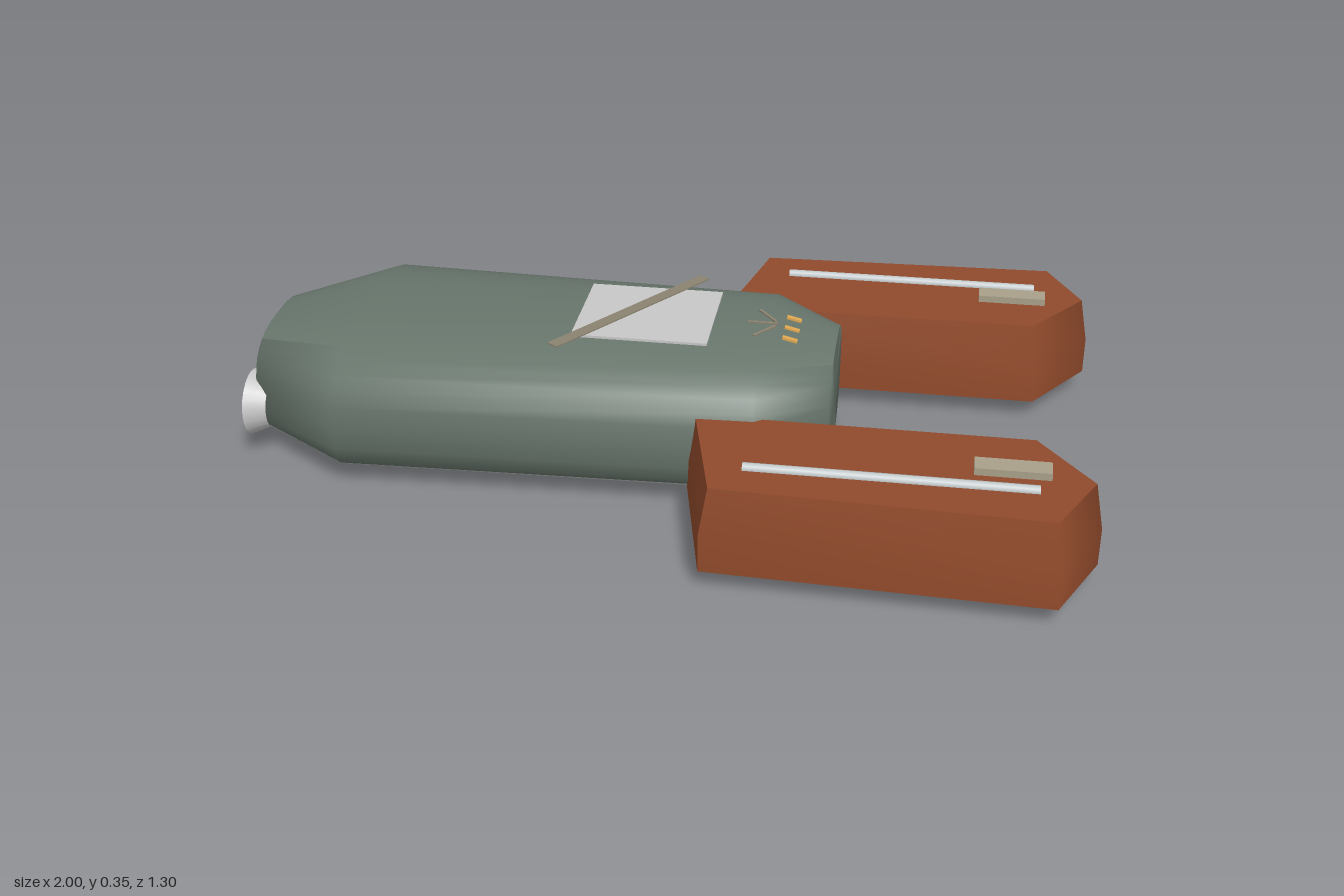
import * as THREE from 'three';
import { toCreasedNormals } from 'three/addons/utils/BufferGeometryUtils.js';

const mat = (name, color, extra = {}) => Object.assign(new THREE.MeshStandardMaterial({ color, ...extra }), { name });

// Closed skin through rings of points, softly shaded except at near-right-angled edges.
// isSecond(j) picks which segments round the ring take the second material.
function loft(rings, isSecond = () => false) {
  const n = rings[0].length, pos = rings.flat(2), main = [], second = [];
  for (let i = 0; i < rings.length - 1; i++) {
    for (let j = 0; j < n; j++) {
      const a = i * n + j, d = i * n + (j + 1) % n;
      (isSecond(j) ? second : main).push(a, a + n, d + n, a, d + n, d);
    }
  }
  // end caps
  [0, rings.length - 1].forEach((i) => {
    const c = pos.length / 3;
    for (let q = 0; q < 3; q++) pos.push(rings[i].reduce((s, p) => s + p[q], 0) / n);
    for (let j = 0; j < n; j++) {
      const a = i * n + j, b = i * n + (j + 1) % n;
      main.push(c, i ? b : a, i ? a : b);
    }
  });
  const g = new THREE.BufferGeometry();
  g.setAttribute('position', new THREE.Float32BufferAttribute(pos, 3));
  g.setIndex([...main, ...second]);
  if (second.length) {
    g.addGroup(0, main.length, 0);
    g.addGroup(main.length, second.length, 1);
  }
  return toCreasedNormals(g, 1.25);
}

// Rounded-box cross-section of the hull at a station along x
function hullRing(x, halfWidth, bottom, top, sides = 32) {
  const soft = (v) => Math.sign(v) * Math.abs(v) ** (2 / 2.8);
  return Array.from({ length: sides }, (_, j) => {
    const t = (j / sides) * Math.PI * 2;
    return [x, (top + bottom) / 2 + soft(Math.sin(t)) * (top - bottom) / 2, soft(Math.cos(t)) * halfWidth];
  });
}

export function createModel() {
  const model = new THREE.Group();
  const hullGreen = mat('hull green', 0x68766c);
  const lightGrey = mat('light grey', 0xc8c8c8, { side: THREE.DoubleSide });
  const podRust = mat('pod rust', 0x904a2b);
  const railGrey = mat('rail grey', 0xbfc6c8);
  const hatchTan = mat('hatch tan', 0xa8a08a);
  const boomBrown = mat('boom brown', 0x8c8370);
  const amber = mat('amber', 0xe0a850);

  const put = (name, geometry, material, x = 0, y = 0, z = 0, parent = model) => {
    const m = new THREE.Mesh(geometry, material);
    m.name = name;
    m.position.set(x, y, z);
    parent.add(m);
    return m;
  };
  // Flat bar between two points in plan
  const bar = (name, x0, z0, x1, z1, y, width, height) => {
    const m = put(name, new THREE.BoxGeometry(Math.hypot(x1 - x0, z1 - z0), height, width), boomBrown,
      (x0 + x1) / 2, y, (z0 + z1) / 2);
    m.rotation.y = -Math.atan2(z1 - z0, x1 - x0);
  };

  // Hull with a grey belly
  put('hull', loft([
    hullRing(-0.98, 0.19, 0.025, 0.295),
    hullRing(-0.74, 0.355, 0.003, 0.35),
    hullRing(0.23, 0.315, 0.003, 0.35),
    hullRing(0.39, 0.2, 0.022, 0.312),
  ], (j) => j >= 19 && j < 29), [hullGreen, lightGrey]);

  // Roof panel, diagonal boom and small fittings at the nose
  put('roofPanel', new THREE.BoxGeometry(0.32, 0.006, 0.285), lightGrey, -0.06, 0.35, -0.007);
  bar('diagonalBoom', -0.25, 0.2, 0.045, -0.225, 0.3545, 0.03, 0.003);
  bar('noseAntenna', 0.18, 0, 0.25, 0, 0.35, 0.007, 0.006);
  for (const s of [-1, 1]) bar('noseAntennaArm', 0.2, 0.07 * s, 0.245, 0.012 * s, 0.349, 0.007, 0.006);
  for (const z of [-0.056, 0, 0.054]) {
    put('noseLight', new THREE.BoxGeometry(0.036, 0.007, 0.013), amber, 0.284, 0.338, z).rotation.z = -0.23;
  }

  // Mirrored side pods with rails and hatches, and engine nozzles
  const outline = [[0.075, 0.27], [0.87, 0.27], [1, 0.46], [0.912, 0.648], [0.15, 0.62]];
  for (const s of [-1, 1]) {
    const pod = new THREE.Group();
    pod.name = s > 0 ? 'frontPod' : 'rearPod';
    model.add(pod);
    const plan = s > 0 ? outline : [...outline].reverse();
    const ring = (y, sx, sz) => plan.map(([x, z]) => [0.54 + (x - 0.54) * sx, y, s * (0.46 + (z - 0.46) * sz)]);
    put('podBody', loft([ring(0.05, 1, 1), ring(0.14, 1, 1), ring(0.25, 0.955, 0.9)]), podRust, 0, 0, 0, pod);
    const rail = put('podRail', new THREE.CylinderGeometry(0.013, 0.013, 0.63, 8), railGrey, 0.545, 0.25, 0.508 * s, pod);
    rail.rotation.z = Math.PI / 2;
    put('podHatch', new THREE.BoxGeometry(0.165, 0.018, 0.05), hatchTan, 0.803, 0.258, 0.437 * s, pod);

    const nozzle = put('engineNozzle', new THREE.CylinderGeometry(0.08, 0.058, 0.05, 24, 1, true), lightGrey,
      -0.975, 0.13, 0.168 * s);
    nozzle.rotation.z = Math.PI / 2;
  }
  return model;
}
